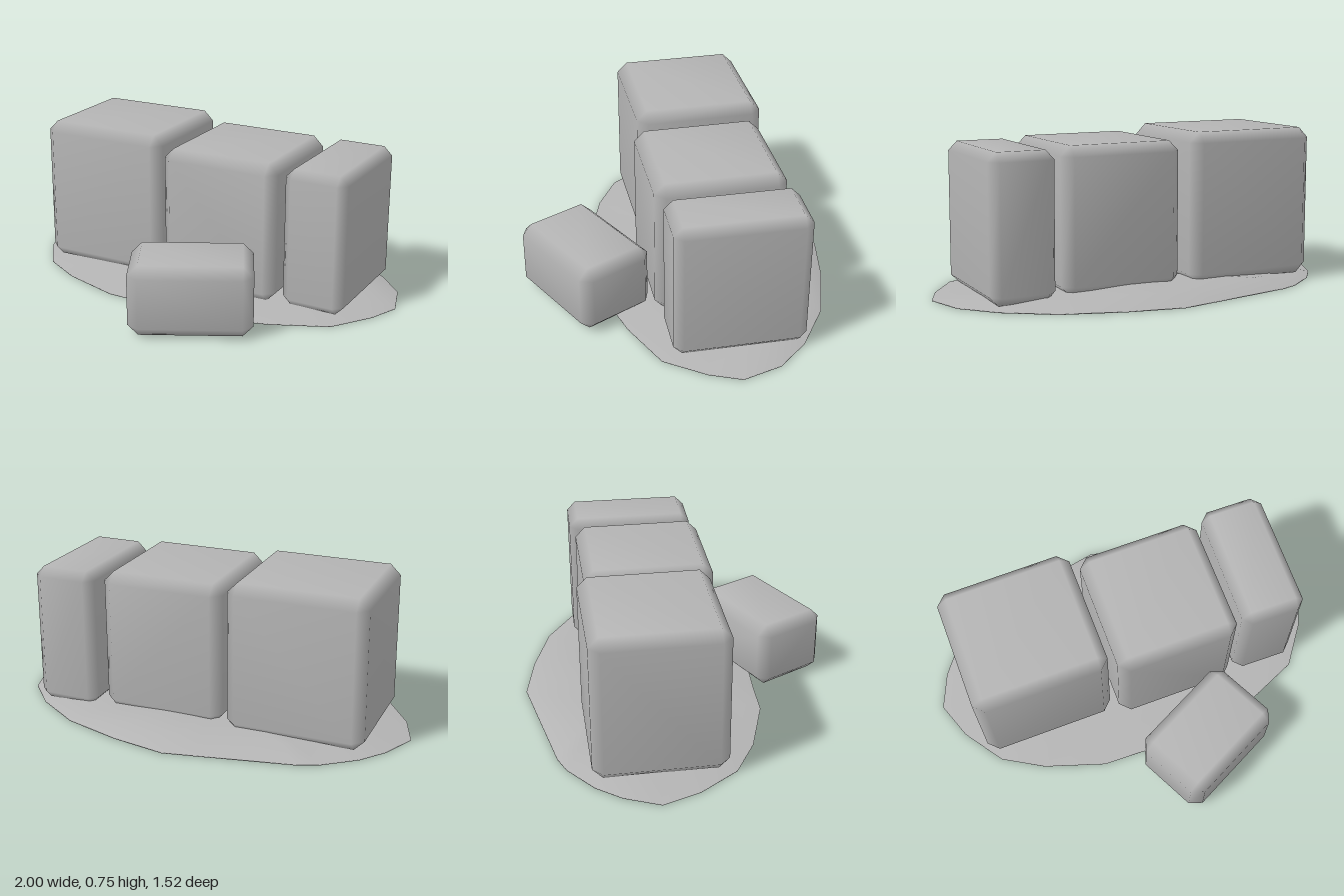
import * as THREE from 'three';
import { mergeVertices } from 'three/addons/utils/BufferGeometryUtils.js';
import { ConvexGeometry } from 'three/addons/geometries/ConvexGeometry.js';

const grey = new THREE.MeshStandardMaterial({ color: 0xb4b4b4 });
grey.name = 'stone grey';

// Block with every edge cut at 45 degrees and smoothly shaded
function chamferedBlock(w, h, d, c) {
  const half = [w / 2, h / 2, d / 2], points = [];
  for (const sx of [-1, 1]) for (const sy of [-1, 1]) for (const sz of [-1, 1])
    for (let face = 0; face < 3; face++) {
      const p = [sx, sy, sz].map((s, k) => s * (half[k] - (k === face ? 0 : c)));
      points.push(new THREE.Vector3(...p));
    }
  let geo = new ConvexGeometry(points);
  geo.deleteAttribute('normal');
  geo = mergeVertices(geo, 1e-4);
  geo.computeVertexNormals();
  return geo;
}

// Ground outline as [x, z], running from the left tip round the back
const outline = [
  [-1, -0.18], [-0.93, -0.35], [-0.84, -0.47], [-0.69, -0.59], [-0.6, -0.63], [-0.15, -0.73], [0.01, -0.765],
  [0.28, -0.72], [0.57, -0.635], [0.8, -0.49], [0.94, -0.34], [1, -0.15], [0.94, 0], [0.81, 0.19],
  [0.55, 0.31], [0.25, 0.4], [-0.1, 0.39], [-0.29, 0.39], [-0.59, 0.3], [-0.79, 0.19], [-0.93, 0],
];

// Low mound: rings shrinking towards the middle over a flat underside
function moundGeometry() {
  const n = outline.length, cz = -0.18, pos = [], index = [];
  const rings = [[1, 0.004], [0.8, 0.032], [0.45, 0.045]];
  for (const [s, y] of rings)
    outline.forEach(([x, z], i) => {
      const slope = s < 1 ? -0.035 * (z - cz) * s + 0.005 * Math.sin(i * 2.1) : 0;
      pos.push(x * s, y + slope, cz + (z - cz) * s);
    });
  const top = pos.length / 3;
  pos.push(0, 0.045, cz);
  const base = top + 1;
  outline.forEach(([x, z]) => pos.push(x, 0, z));
  const bottom = pos.length / 3;
  pos.push(0, 0, cz);
  for (let i = 0; i < n; i++) {
    const j = (i + 1) % n;
    for (let r = 0; r < rings.length - 1; r++) {
      const a = r * n + i, b = r * n + j, c = a + n, d = b + n;
      index.push(b, a, c, b, c, d);
    }
    const last = (rings.length - 1) * n;
    index.push(top, last + j, last + i);
    index.push(base + j, base + i, i, base + j, i, j);
    index.push(bottom, base + i, base + j);
  }
  const geo = new THREE.BufferGeometry();
  geo.setAttribute('position', new THREE.Float32BufferAttribute(pos, 3));
  geo.setIndex(index);
  geo.computeVertexNormals();
  return geo;
}

export function createModel() {
  const model = new THREE.Group();
  model.name = 'stoneBlocks';

  const mound = new THREE.Mesh(moundGeometry(), grey);
  mound.name = 'groundMound';
  model.add(mound);

  // name, size [w, d], bottom and top height, centre [x, z], turn, chamfer
  const blocks = [
    ['wideBlock', [0.672, 0.633], [0.025, 0.755], [-0.505, -0.17], 0.03, 0.05],
    ['middleBlock', [0.61, 0.63], [0.02, 0.718], [0.173, -0.148], 0.025, 0.05],
    ['narrowBlock', [0.316, 0.632], [0.02, 0.708], [0.672, -0.18], 0.01, 0.043],
    ['fallenBlock', [0.578, 0.396], [0.004, 0.345], [0.225, 0.468], 0.49, 0.05],
  ];
  for (const [name, [w, d], [y0, y1], [x, z], turn, c] of blocks) {
    const block = new THREE.Mesh(chamferedBlock(w, y1 - y0, d, c), grey);
    block.name = name;
    block.position.set(x, (y0 + y1) / 2, z);
    block.rotation.y = turn;
    model.add(block);
  }
  return model;
}
